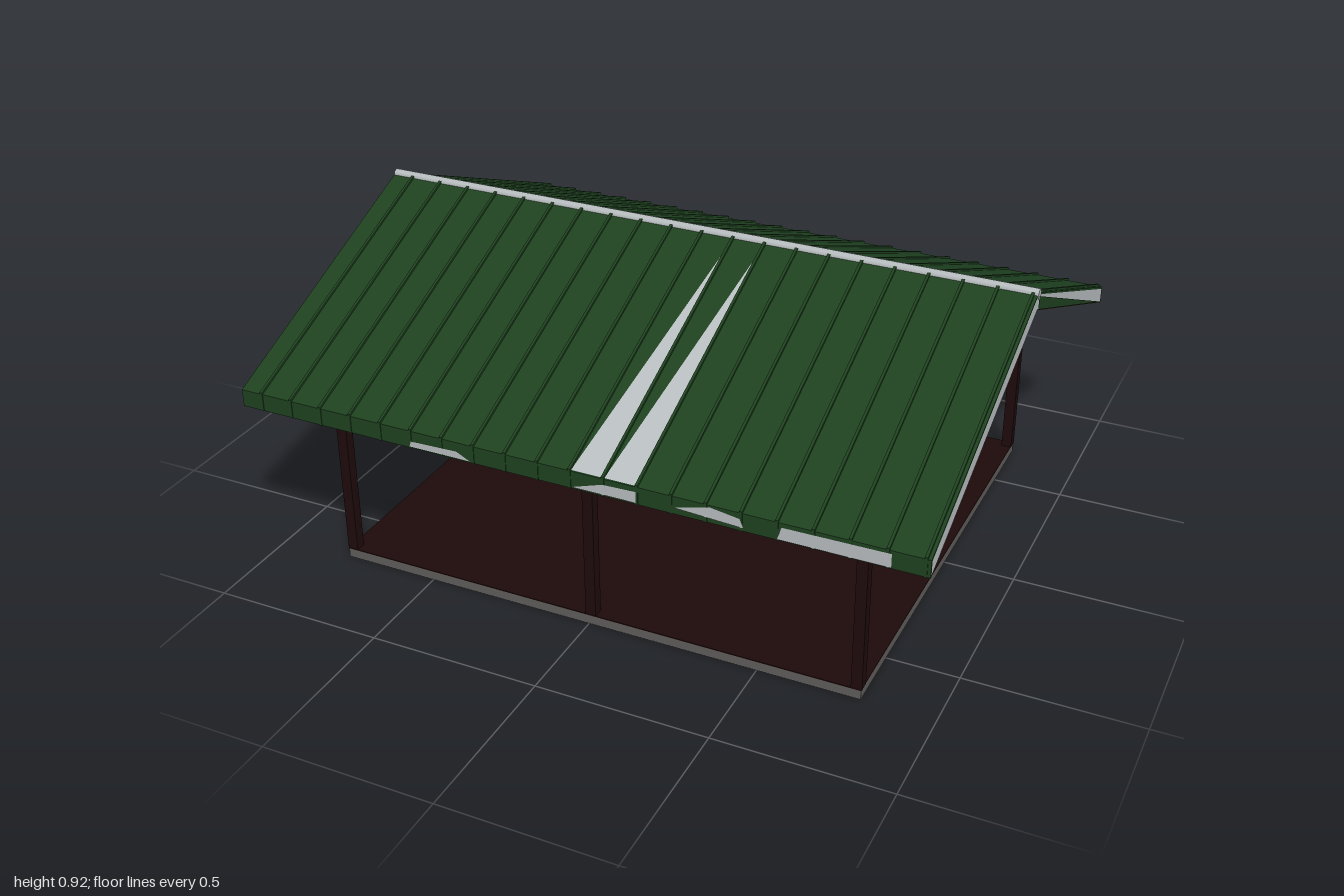
import * as THREE from 'three';

export function createModel() {
  const root = new THREE.Group();
  root.name = 'pavilion';

  const mat = (name, color) => {
    const m = new THREE.MeshStandardMaterial({ color });
    m.name = name;
    return m;
  };
  const green = mat('green sheet metal', 0x1e411f);
  const grey = mat('grey trim', 0xb8bdbf);
  const brown = mat('brown timber', 0x4d311d);
  const ceilingBrown = mat('dark brown ceiling', 0x452b19);
  const darkRed = mat('dark red stain', 0x1e0a0b);
  const concrete = mat('concrete', 0x5f5d5b);
  const paleConcrete = mat('pale concrete', 0x807d79);

  const add = (name, geometry, material, x = 0, y = 0, z = 0) => {
    const mesh = new THREE.Mesh(geometry, material);
    mesh.name = name;
    mesh.position.set(x, y, z);
    root.add(mesh);
    return mesh;
  };

  // Extrudes a [z, y] section along x, between x0 and x1
  const section = (points, x0, x1) => {
    const shape = new THREE.Shape(points.map(([z, y]) => new THREE.Vector2(-z, y)));
    const g = new THREE.ExtrudeGeometry(shape, { depth: x1 - x0, bevelEnabled: false });
    g.rotateY(Math.PI / 2);
    g.translate(x0, 0, 0);
    return g;
  };
  // A flat polygon facing along the eave (s = 1 front, -1 back)
  const eavePlate = (points, s) => {
    const g = new THREE.ShapeGeometry(new THREE.Shape(points.map(([x, y]) => new THREE.Vector2(s * x, y))));
    if (s < 0) g.rotateY(Math.PI);
    return g;
  };

  // Floor slab with its underside and stained deck
  add('slab', new THREE.BoxGeometry(1.577, 0.025, 1.39), concrete, 0.005, 0.0145, 0);
  add('slabUnderside', new THREE.BoxGeometry(1.577, 0.002, 1.39), paleConcrete, 0.005, 0.001, 0);
  add('floor', new THREE.BoxGeometry(1.577, 0.003, 1.39), darkRed, 0.005, 0.0285, 0);

  // Posts, three along each eave
  for (const x of [-0.77, 0.005, 0.78])
    for (const z of [-0.679, 0.679])
      add('post', new THREE.BoxGeometry(0.031, 0.545, 0.031), darkRed, x, 0.3025, z);

  // Gable boards with a raised lower edge
  for (const x of [-0.77, 0.78])
    add('gable', section([[0.69, 0.563], [0, 0.858], [-0.69, 0.563], [0, 0.675]], x - 0.008, x + 0.008), brown);

  // Roof slopes
  const pitch = 0.415;
  const ribStep = 0.0955;
  for (const s of [1, -1]) {
    const side = s > 0 ? 'front' : 'back';
    add(side + 'RoofDeck', section([[0, 0.901], [s * 0.814, 0.561], [s * 0.814, 0.518], [0, 0.857]], -0.995, 0.993), grey);
    add(side + 'Ceiling', section([[0, 0.857], [s * 0.814, 0.518], [s * 0.814, 0.515], [0, 0.854]], -0.994, 0.992), ceilingBrown);
    add(side + 'RoofSheet', section([
      [0, 0.906], [s * 0.82, 0.566], [s * 0.82, 0.515], [s * 0.814, 0.515], [s * 0.814, 0.561], [0, 0.901],
    ], -0.995, 0.993), green);

    // Standing seams folded over the eave
    for (let i = -10; i <= 10; i++) {
      const x = 0.025 + i * ribStep;
      add(side + 'Seam', section([
        [0, 0.912], [s * 0.822, 0.572], [s * 0.822, 0.515], [s * 0.815, 0.515], [s * 0.815, 0.561], [0, 0.901],
      ], x - 0.004, x + 0.004), green);
    }
  }

  // Green strip beneath the front overhang
  add('frontSoffit', section([[0.775, 0.534], [0.814, 0.518], [0.814, 0.513], [0.775, 0.529]], -0.99, 0.99), green);

  // Fine grey battens under the front slope
  for (const z of [0.09, 0.26]) {
    const y = 0.854 - 0.4165 * z;
    add('ceilingBatten', new THREE.BoxGeometry(1.5, 0.006, 0.005), grey, 0.005, y, z);
  }

  // Green wedge on the end of the back slope
  const wedge = new THREE.BufferGeometry().setFromPoints([
    new THREE.Vector3(0.995, 0.857, 0), new THREE.Vector3(0.995, 0.518, -0.814), new THREE.Vector3(0.995, 0.896, 0),
  ]);
  wedge.computeVertexNormals();
  add('endWedge', wedge, green);

  // Bare grey tapered panels on the front slope
  for (const x of [0.03, 0.125]) {
    const onSlope = (px, z) => new THREE.Vector3(px, 0.909 - pitch * z, z);
    const g = new THREE.BufferGeometry().setFromPoints([
      onSlope(x, 0.819), onSlope(x + 0.092, 0.819), onSlope(x + 0.09, 0.04),
    ]);
    g.computeVertexNormals();
    add('barePanel', g, grey);
  }

  // Bare patches on the eave faces
  const frontPatches = [
    [[-0.455, 0.52], [-0.27, 0.52], [-0.31, 0.54], [-0.45, 0.536]],
    [[0.03, 0.52], [0.215, 0.52], [0.215, 0.553], [0.12, 0.55]],
    [[0.32, 0.535], [0.51, 0.525], [0.5, 0.55], [0.42, 0.562]],
    [[0.6, 0.518], [0.895, 0.518], [0.895, 0.558], [0.61, 0.555]],
  ];
  for (const p of frontPatches) add('frontEavePatch', eavePlate(p, 1), grey, 0, 0, 0.8225);
  for (const x of [0.68, 0.17, -0.2, -0.36, -0.65])
    add('backEavePatch', eavePlate([[x - 0.06, 0.519], [x + 0.06, 0.519], [x + 0.055, 0.552], [x - 0.04, 0.545]], -1), grey, 0, 0, -0.8225);

  // Ridge cap
  const cap = new THREE.CylinderGeometry(0.016, 0.016, 1.99, 8);
  cap.rotateZ(Math.PI / 2);
  add('ridgeCap', cap, grey, 0, 0.9, -0.004);

  return root;
}
